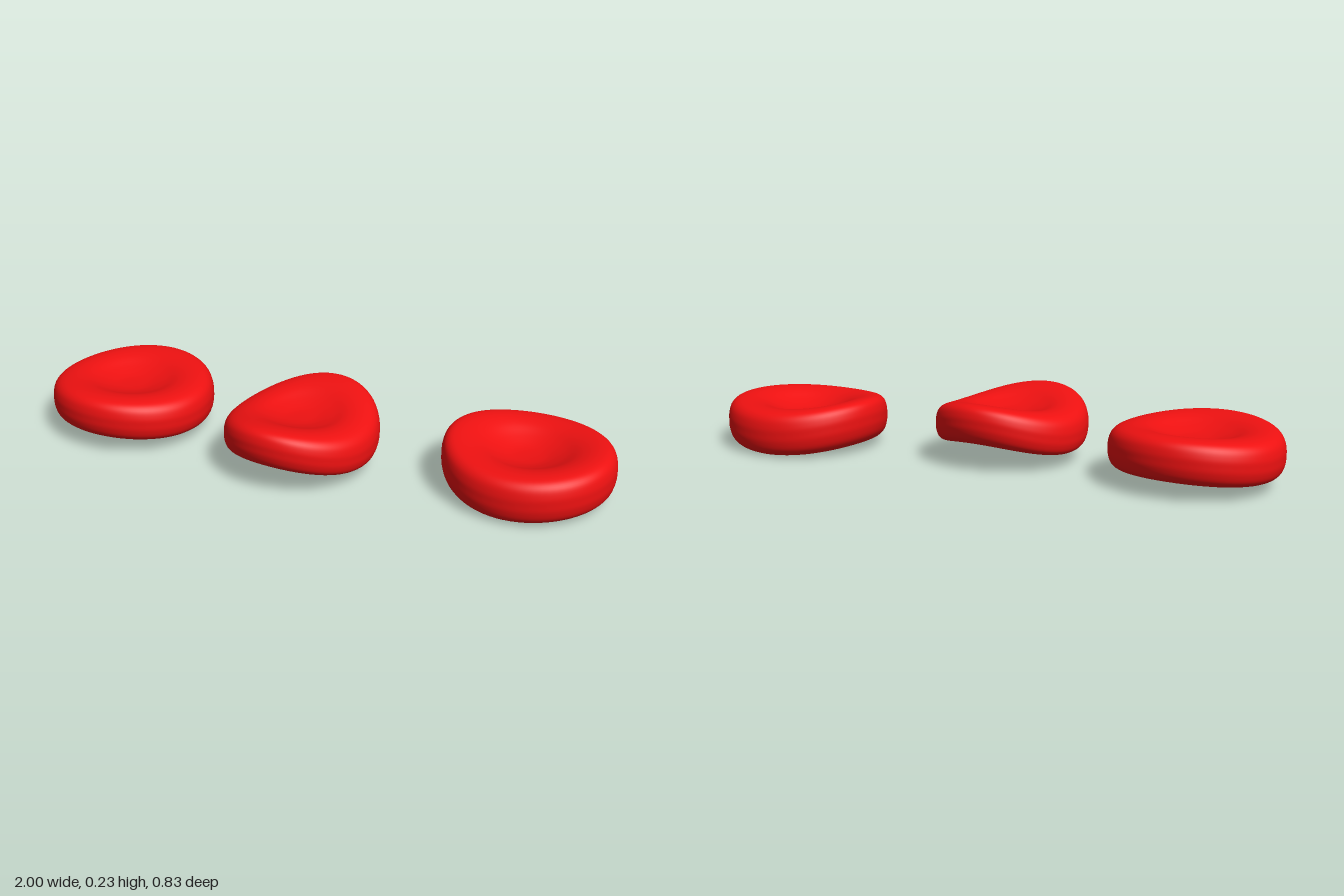
import * as THREE from 'three';
import { mergeVertices } from 'three/addons/utils/BufferGeometryUtils.js';

const material = new THREE.MeshStandardMaterial({ color: 0xee1111 });

// Upper half of the biconcave section: [radius, height], both relative to 1
const HALF = [[0, 0.42], [0.2, 0.46], [0.4, 0.66], [0.58, 0.91], [0.74, 1], [0.88, 0.93], [0.96, 0.7], [0.995, 0.33]];

function discProfile() {
  const lower = HALF.map(([r, h]) => new THREE.Vector2(r, -h));
  const upper = HALF.map(([r, h]) => new THREE.Vector2(r, h)).reverse();
  const points = new THREE.SplineCurve([...lower, new THREE.Vector2(1, 0), ...upper]).getPoints(72);
  points.forEach((p) => { p.x = Math.max(0, p.x); });
  return points;
}

// Dimpled disc of unit radius, scaled and then bent by a height rule over (u, w)
function makeCell({ name, position, size, bend }) {
  let geometry = new THREE.LatheGeometry(discProfile(), 72);
  const pos = geometry.attributes.position;
  for (let i = 0; i < pos.count; i++) {
    const u = pos.getX(i), w = pos.getZ(i);
    pos.setXYZ(i, u * size[0], pos.getY(i) * size[1] + bend(u, w), w * size[2]);
  }
  // Weld the lathe seam so the shading stays smooth
  geometry.deleteAttribute('uv');
  geometry.deleteAttribute('normal');
  geometry = mergeVertices(geometry, 1e-5);
  geometry.computeVertexNormals();
  const mesh = new THREE.Mesh(geometry, material);
  mesh.name = name;
  mesh.position.set(...position);
  return mesh;
}

export function createModel() {
  const group = new THREE.Group();
  group.name = 'bloodCells';
  const cells = [
    // Gentle saddle
    {
      name: 'rightCell', position: [-0.71, 0.119, 0.13], size: [0.29, 0.073, 0.28],
      bend: (u, w) => 0.013 * (w * w - u * u),
    },
    // Strong saddle: front and back lifted, sides dropped
    {
      name: 'middleCell', position: [-0.03, 0.138, 0.085], size: [0.26, 0.069, 0.28],
      bend: (u, w) => 0.034 * (w * w - u * u),
    },
    // Sides curled up, more on one side
    {
      name: 'leftCell', position: [0.71, 0.082, -0.135], size: [0.29, 0.08, 0.28],
      bend: (u) => 0.026 * u * u - 0.011 * u * u * u,
    },
  ];
  cells.forEach((cell) => group.add(makeCell(cell)));
  return group;
}
